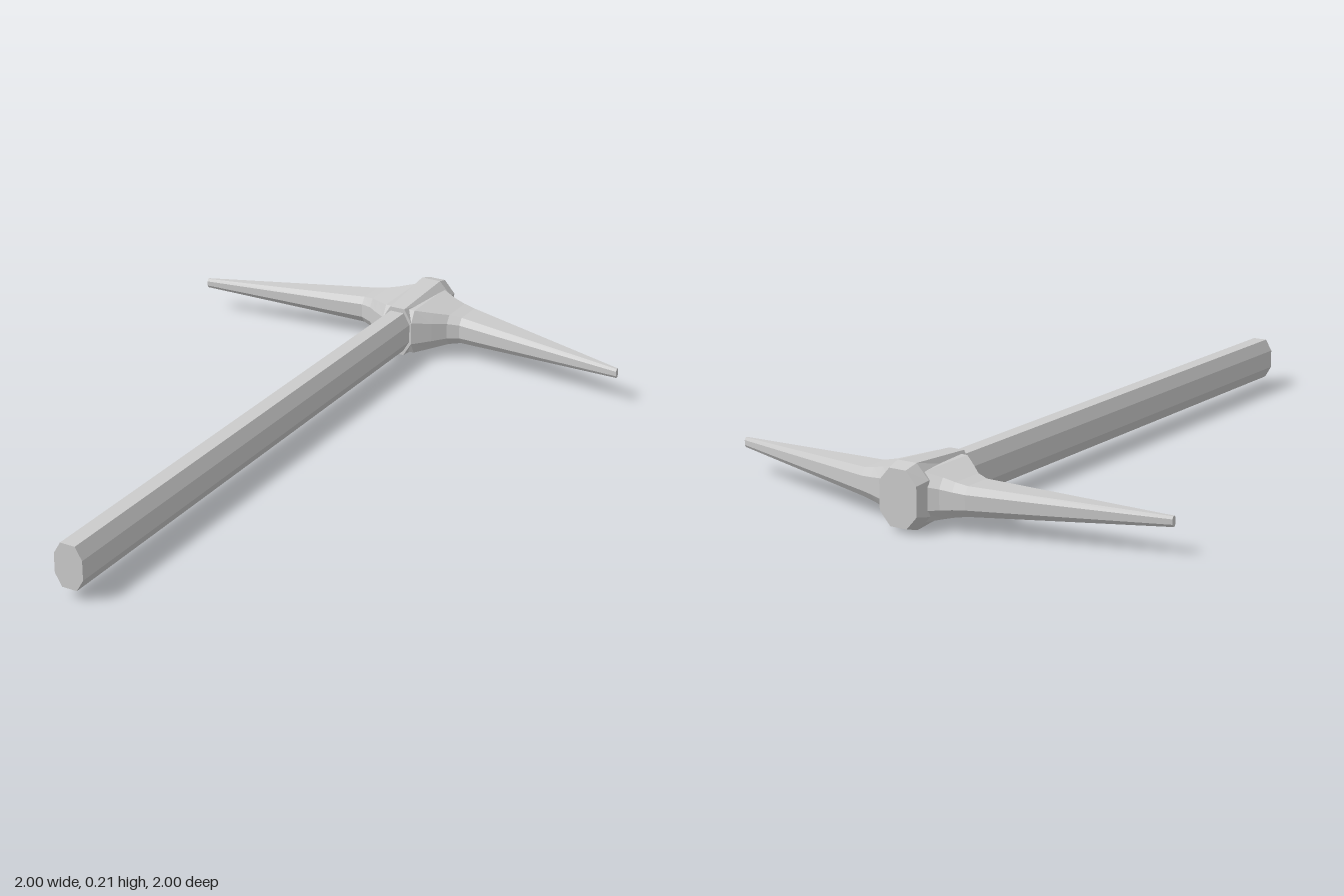
import * as THREE from 'three';

// Chamfered rectangle (eight corners, counter-clockwise): half sizes hp, hq and half flats fp, fq
const octagon = (hp, hq, fp, fq) => [
  [hp, -fq], [hp, fq], [fp, hq], [-fp, hq],
  [-hp, fq], [-hp, -fq], [-fp, -hq], [fp, -hq],
];

// Skin a row of rings, closing both ends
function loft(rings) {
  const pos = [];
  const tri = (...points) => points.forEach((p) => pos.push(...p));
  const n = rings[0].length;
  for (let i = 0; i < rings.length - 1; i++) {
    for (let j = 0; j < n; j++) {
      const k = (j + 1) % n;
      const [a, b, c, d] = [rings[i][j], rings[i][k], rings[i + 1][k], rings[i + 1][j]];
      tri(a, b, c);
      tri(a, c, d);
    }
  }
  const first = rings[0], last = rings[rings.length - 1];
  for (let j = 1; j < n - 1; j++) {
    tri(first[0], first[j + 1], first[j]);
    tri(last[0], last[j], last[j + 1]);
  }
  const geometry = new THREE.BufferGeometry();
  geometry.setAttribute('position', new THREE.Float32BufferAttribute(pos, 3));
  geometry.computeVertexNormals();
  return geometry;
}

// Ring across the handle axis (local x)
const shaftRing = (x, halfY, halfZ, flatY, flatZ) =>
  octagon(halfY, halfZ, flatY, flatZ).map(([y, z]) => [x, y, z]);

// Ring across the pick axis (local z), spanning x0..x1
const pickRing = (z, x0, x1, halfY, bevel) =>
  octagon((x1 - x0) / 2, halfY, (x1 - x0) / 2 - bevel, halfY * 0.5)
    .map(([x, y]) => [(x0 + x1) / 2 + x, y, z]);

export function createModel() {
  const material = new THREE.MeshStandardMaterial({ color: 0xcccccc, flatShading: true });
  const tool = new THREE.Group();
  tool.name = 'pickaxe';
  const add = (name, rings) => {
    const mesh = new THREE.Mesh(loft(rings), material);
    mesh.name = name;
    tool.add(mesh);
  };

  // Straight handle, taller than wide
  add('handle', [-1.366, 0.7].map((x) => shaftRing(x, 0.07, 0.048, 0.031, 0.025)));

  // Flaring socket with a chamfered end
  add('socket', [
    shaftRing(0.56, 0.085, 0.053, 0.042, 0.027),
    shaftRing(0.81, 0.103, 0.079, 0.056, 0.035),
    shaftRing(0.858, 0.09, 0.068, 0.047, 0.03),
  ]);

  // Double-ended pick: one side's sections (z, x0, x1, halfY, bevel), mirrored
  const side = [
    [0.055, 0.56, 0.826, 0.078, 0.022],
    [0.11, 0.605, 0.803, 0.064, 0.02],
    [0.15, 0.641, 0.794, 0.054, 0.018],
    [0.19, 0.657, 0.786, 0.047, 0.016],
    [0.795, 0.601, 0.619, 0.016, 0.005],
  ];
  const mirrored = side.map(([z, ...rest]) => [-z, ...rest]).reverse();
  add('pickHead', [...mirrored, ...side].map((s) => pickRing(...s)));

  // Lying diagonally on the ground
  tool.rotation.y = Math.PI / 4;
  tool.position.y = 0.103;
  const model = new THREE.Group();
  model.name = 'model';
  model.add(tool);
  return model;
}
